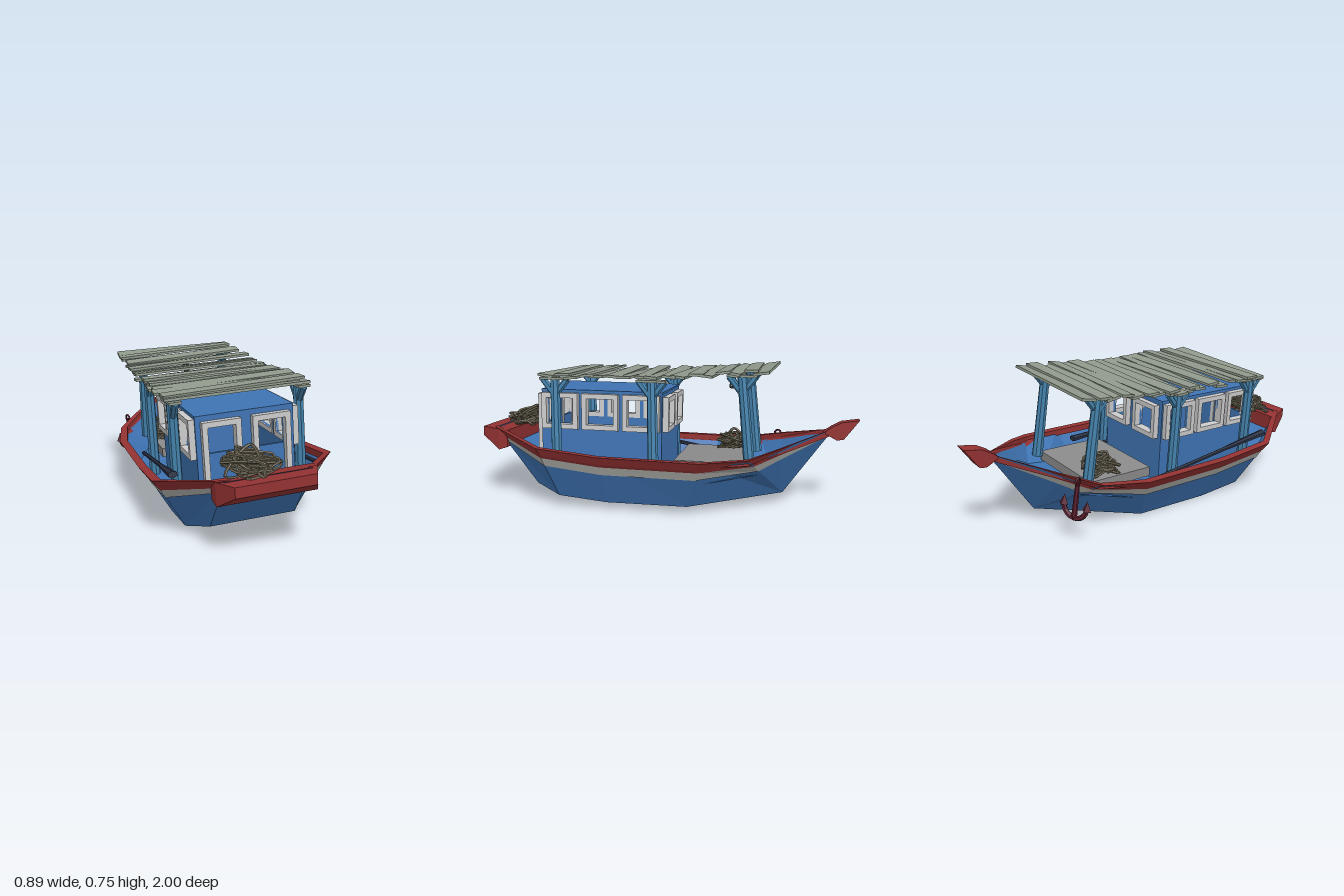
import * as THREE from 'three';

const V = (x, y, z) => new THREE.Vector3(x, y, z);
const mat = (color, side = THREE.FrontSide) =>
  new THREE.MeshStandardMaterial({ color, flatShading: true, side });
const BLUE = 0x3f74b4, RED = 0x943232, GREY = 0xb2b2ae, POST = 0x4583ad,
  WOOD = 0x8f998b, ROPE = 0x6f6856, DARK = 0x2a3144, ANCHOR = 0x5c2030, FRAME = 0xcccccc;

let seed = 7;
const rnd = () => (seed = (seed * 16807) % 2147483647) / 2147483647;
const jit = (a) => (rnd() * 2 - 1) * a;

function add(parent, name, geo, color, pos = [0, 0, 0], rot = [0, 0, 0], side) {
  const m = new THREE.Mesh(geo, mat(color, side));
  m.name = name;
  m.position.set(...pos);
  m.rotation.set(...rot);
  parent.add(m);
  return m;
}

// Skin between rows of points
function loft(rows, closed = false) {
  const pos = [], n = rows[0].length;
  for (let i = 0; i < rows.length - 1; i++)
    for (let j = 0; j < (closed ? n : n - 1); j++) {
      const k = (j + 1) % n;
      const [a, b, c, d] = [rows[i][j], rows[i][k], rows[i + 1][k], rows[i + 1][j]];
      for (const p of [a, b, c, a, c, d]) pos.push(p.x, p.y, p.z);
    }
  const g = new THREE.BufferGeometry();
  g.setAttribute('position', new THREE.Float32BufferAttribute(pos, 3));
  g.computeVertexNormals();
  return g;
}

const addSkin = (parent, name, geo, color) =>
  add(parent, name, geo, color, [0, 0, 0], [0, 0, 0], THREE.DoubleSide);

// Straight bar between two points
function rod(parent, name, a, b, r1, r2, color, sides = 8) {
  const m = add(parent, name, new THREE.CylinderGeometry(r2, r1, a.distanceTo(b), sides), color);
  m.position.copy(a).lerp(b, 0.5);
  m.quaternion.setFromUnitVectors(V(0, 1, 0), b.clone().sub(a).normalize());
  return m;
}

// Hull stations: gunwale point, chine point, stripe scale, rail width
const stations = [
  [V(0.20, 0.355, 0.92), V(0.21, 0.062, 0.68), 0.6, 0.024],
  [V(0.43, 0.293, 0.60), V(0.29, 0.022, 0.53), 0.95, 0.028],
  [V(0.43, 0.262, 0.28), V(0.29, 0, 0.27), 1, 0.028],
  [V(0.43, 0.258, -0.23), V(0.285, 0.002, -0.15), 1, 0.028],
  [V(0.38, 0.276, -0.46), V(0, 0.038, -0.62), 0.8, 0.025],
  [V(0.265, 0.315, -0.60), V(0, 0.039, -0.621), 0.6, 0.018],
  [V(0, 0.39, -0.87), V(0, 0.04, -0.622), 0.28, 0],
];
const hullPoint = ([g, c], t, s) => { const p = g.clone().lerp(c, t); p.x *= s; return p; };

function buildHull(boat) {
  for (const s of [1, -1]) {
    const band = (t0, t1, out) => loft(stations.map((st) => [t0, t1].map((t) => {
      const p = hullPoint(st, t < 1 ? t * st[2] : 1, s);
      p.x += out * s;
      return p;
    })));
    addSkin(boat, 'hullSide', band(0, 1, 0), BLUE);
    addSkin(boat, 'stripe', band(0.2, 0.37, 0.004), GREY);
    // Gunwale: inner top, outer top, outer lower, tucked in at the stripe
    const rail = stations.map((st) => {
      const w = st[3], p = hullPoint(st, 0, s), q = hullPoint(st, 0.22 * st[2], s);
      const off = (v, x, y) => V(v.x + x * s, v.y + y, v.z);
      return [off(p, -w, -0.03), off(p, -w, 0.004), off(p, 0.002 + w * 0.45, 0.004),
        off(q, 0.005 + w * 0.45, 0.018), off(q, 0.002, 0)];
    });
    addSkin(boat, 'gunwale', loft(rail), RED);
  }
  const across = (t, k, fit) => loft(stations.map((st) =>
    [-k, k].map((s) => hullPoint(st, fit ? t * st[2] : t, s))));
  addSkin(boat, 'hullBottom', across(1, 1, false), BLUE);
  addSkin(boat, 'deck', across(0.5, 0.98, true), BLUE);
  addSkin(boat, 'transom', loft([0, 1].map((t) => [-1, 1].map((s) => hullPoint(stations[0], t, s)))), BLUE);

  // Stern block, closed with a collapsed section at each end
  const sec = (x, y0, y1, z) => [V(-x, y0, z), V(x, y0, z), V(x, y1, z), V(-x, y1, z)];
  addSkin(boat, 'sternBlock', loft([sec(0, 0.29, 0.29, 0.84), sec(0.24, 0.255, 0.345, 0.84),
    sec(0.235, 0.238, 0.35, 0.89), sec(0.185, 0.305, 0.354, 1), sec(0, 0.33, 0.33, 1)], true), RED);

  // Prow: profile in z and y, given thickness in x
  const prow = new THREE.Shape([[0.82, 0.375], [0.89, 0.338], [0.925, 0.345], [1, 0.447], [0.91, 0.432], [0.86, 0.405]]
    .map(([z, y]) => new THREE.Vector2(z, y)));
  add(boat, 'prow', new THREE.ExtrudeGeometry(prow, { depth: 0.074, bevelEnabled: false }),
    RED, [-0.037, 0, 0], [0, Math.PI / 2, 0]);
  add(boat, 'platform', new THREE.BoxGeometry(0.48, 0.05, 0.37), 0x8b8b8b, [0, 0.207, -0.255]);
}

const rect = (C, x, y, w, h) => new C([[-1, -1], [1, -1], [1, 1], [-1, 1]]
  .map(([a, b]) => new THREE.Vector2(x + a * w / 2, y + b * h / 2)));

// Cabin wall with framed openings; drop extends the frames down to the deck as doors
function wall(parent, name, width, centres, y, w, h, depth, drop, pos, turn) {
  const g = new THREE.Group();
  g.name = name;
  const b = 0.026, shape = rect(THREE.Shape, 0, 0.3375, width, 0.475);
  for (const x of centres) {
    shape.holes.push(rect(THREE.Path, x, y, w - 2 * b, h - 2 * b));
    const frame = rect(THREE.Shape, x, y - drop / 2, w, h + drop);
    frame.holes.push(rect(THREE.Path, x, y - drop / 2, w - 2 * b, h + drop - 2 * b));
    add(g, 'openingFrame', new THREE.ExtrudeGeometry(frame, { depth, bevelEnabled: false }), FRAME, [0, 0, -0.004]);
  }
  add(g, 'wallPanel', new THREE.ExtrudeGeometry(shape, { depth: 0.015, bevelEnabled: false }), BLUE);
  g.position.set(...pos);
  g.rotation.y = turn;
  parent.add(g);
}

function buildCabin(boat) {
  wall(boat, 'cabinFront', 0.47, [-0.12, 0.12], 0.46, 0.185, 0.18, 0.05, 0.18, [0, 0, 0.625], 0);
  wall(boat, 'cabinBack', 0.47, [-0.12, 0.12], 0.46, 0.185, 0.18, 0.05, 0, [0, 0, 0.01], Math.PI);
  for (const s of [1, -1])
    wall(boat, 'cabinSide', 0.645, [-0.217, 0, 0.217], 0.467, 0.195, 0.188, 0.048, 0, [0.222 * s, 0, 0.3175], s * Math.PI / 2);
  add(boat, 'cabinRoof', new THREE.BoxGeometry(0.475, 0.01, 0.65), BLUE, [0, 0.572, 0.3175]);
}

const roofY = (z) => 0.654 + Math.max(0, -z) * 0.085;

function buildCanopy(boat) {
  for (const [z0, z1, x, y0] of [[0.53, 0.54, 0.31, 0.15], [0.02, 0.035, 0.305, 0.12], [-0.46, -0.41, 0.24, 0.21]])
    for (const s of [1, -1]) {
      const top = V(x * s, roofY(z1) - 0.016, z1);
      rod(boat, 'post', V((x + 0.004) * s, y0, z0), top, 0.029, 0.025, POST);
      // Braces fanning out under the roof, and the cap they carry
      for (const dz of [0.065, -0.065])
        rod(boat, 'brace', V(top.x, top.y - 0.085, z1), V(top.x, top.y, z1 + dz), 0.016, 0.018, POST, 6);
      add(boat, 'postCap', new THREE.BoxGeometry(0.06, 0.012, 0.15), WOOD, [top.x, top.y + 0.003, z1]);
    }
  // Uneven planks
  const count = 17;
  for (let i = 0; i < count; i++) {
    const z = 0.57 - i * 1.09 / (count - 1), len = 0.715 - i * 0.004 + jit(0.02);
    add(boat, 'plank', new THREE.BoxGeometry(len, 0.013, 0.066 + rnd() * 0.014), WOOD,
      [-0.003 - i * 0.0018 + jit(0.012), roofY(z) + (i % 2) * 0.008, z],
      [jit(0.2), (i % 2 ? 1 : -1) * (0.015 + rnd() * 0.035), jit(0.015)]);
  }
}

// Messy pile of rope crossing over itself
function ropePile(boat, c, rx, h, rz, turns) {
  const pts = [];
  for (let i = 0; i < turns; i++) {
    const a = i * 2.3 + jit(0.7), r = 0.35 + rnd() * 0.6;
    pts.push(V(c[0] + Math.cos(a) * rx * r, c[1] + h * rnd() * (1.3 - r), c[2] + Math.sin(a) * rz * r));
  }
  const curve = new THREE.CatmullRomCurve3(pts, true);
  add(boat, 'rope', new THREE.TubeGeometry(curve, turns * 8, 0.0075, 5, true), ROPE);
}

function oar(boat, a, b) {
  rod(boat, 'oarShaft', a, b, 0.011, 0.011, DARK, 6);
  const blade = rod(boat, 'oarBlade', a.clone().lerp(b, 0.66), b, 0.014, 0.024, DARK, 6);
  blade.scale.z = 0.7;
}

function buildGear(boat) {
  ropePile(boat, [-0.05, 0.35, 0.815], 0.16, 0.12, 0.14, 52);
  ropePile(boat, [-0.16, 0.235, -0.33], 0.11, 0.13, 0.11, 40);
  oar(boat, V(0.375, 0.25, 0.57), V(0.335, 0.22, -0.18));
  oar(boat, V(-0.33, 0.2, -0.15), V(-0.355, 0.325, 0.64));
  oar(boat, V(0.275, 0.18, -0.02), V(0.27, 0.24, 0.69));

  // Hanging lantern
  const lantern = new THREE.Group();
  lantern.name = 'lantern';
  const disc = (n, r1, r2, h, y, c) => add(lantern, n, new THREE.CylinderGeometry(r1, r2, h, 8), c, [0, y, 0]);
  disc('lanternBase', 0.012, 0.018, 0.012, -0.03, 0x222222);
  disc('lanternGlass', 0.017, 0.013, 0.028, -0.01, 0xd8d8d0);
  disc('lanternCap', 0.012, 0.021, 0.018, 0.012, 0x222222);
  disc('lanternHook', 0.004, 0.004, 0.04, 0.038, 0x222222);
  for (let i = 0; i < 4; i++) {
    const a = i * Math.PI / 2 + 0.8;
    add(lantern, 'lanternBar', new THREE.BoxGeometry(0.006, 0.04, 0.006), 0x222222, [Math.cos(a) * 0.018, -0.01, Math.sin(a) * 0.018]);
  }
  lantern.position.set(0, 0.625, -0.34);
  boat.add(lantern);

  // Anchor hung outside the rail near the bow
  const anchor = new THREE.Group();
  anchor.name = 'anchor';
  rod(anchor, 'shank', V(0, 0, 0), V(0, 0.18, 0), 0.014, 0.011, ANCHOR, 6);
  add(anchor, 'ring', new THREE.TorusGeometry(0.018, 0.006, 5, 10), ANCHOR, [0, 0.185, 0], [0, Math.PI / 2, 0]);
  add(anchor, 'arms', new THREE.TorusGeometry(0.065, 0.013, 6, 10, Math.PI), ANCHOR, [0, 0.065, 0], [0, 0, Math.PI]);
  for (const s of [1, -1])
    add(anchor, 'fluke', new THREE.ConeGeometry(0.024, 0.05, 4), ANCHOR, [0.065 * s, 0.08, 0]);
  anchor.position.set(-0.33, 0.12, -0.59);
  anchor.rotation.set(0.1, 0.4, 0);
  boat.add(anchor);
}

export function createModel() {
  seed = 7;
  const boat = new THREE.Group();
  boat.name = 'boat';
  buildHull(boat);
  buildCabin(boat);
  buildCanopy(boat);
  buildGear(boat);
  // The boat leans slightly to one side
  boat.position.set(0.02, 0.022, 0);
  boat.rotation.z = 0.07;
  const model = new THREE.Group();
  model.name = 'model';
  model.add(boat);
  return model;
}
